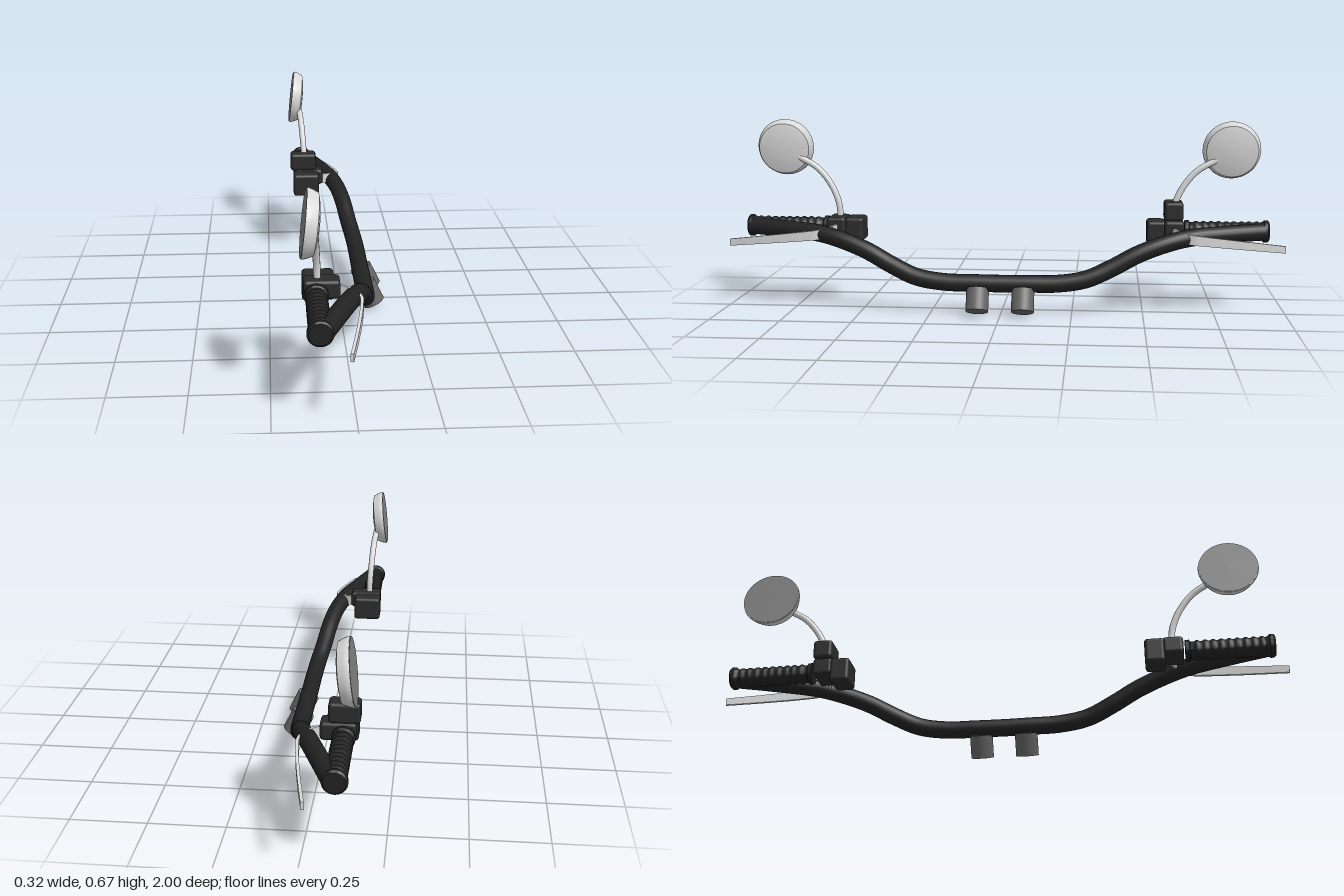
import * as THREE from 'three';
import { toCreasedNormals } from 'three/addons/utils/BufferGeometryUtils.js';
import { RoundedBoxGeometry } from 'three/addons/geometries/RoundedBoxGeometry.js';

const material = (name, color) => {
  const m = new THREE.MeshStandardMaterial({ color });
  m.name = name;
  return m;
};
const v2 = (p) => new THREE.Vector2(p[0], p[1]);

export function createModel() {
  const black = material('black paint', 0x222222);
  const plastic = material('dark plastic', 0x2b2b2b);
  const chrome = material('chrome', 0xd8d8d8);
  const glass = material('mirror glass', 0x808080);
  const steel = material('grey steel', 0x666666);

  const model = new THREE.Group();
  model.name = 'handlebar';
  const add = (name, geometry, mat, parent = model) => {
    const mesh = new THREE.Mesh(geometry, mat);
    mesh.name = name;
    parent.add(mesh);
    return mesh;
  };
  const curve = (points, s = 1) =>
    new THREE.CatmullRomCurve3(points.map(([x, y, z]) => new THREE.Vector3(x, y, z * s)));
  // Rounded box given by its limits on each axis
  const box = (name, [x0, x1], [y0, y1], [z0, z1], s, parent) => {
    const geometry = new RoundedBoxGeometry(x1 - x0, y1 - y0, z1 - z0, 3, 0.012);
    add(name, geometry, plastic, parent)
      .position.set((x0 + x1) / 2, (y0 + y1) / 2, s * (z0 + z1) / 2);
  };

  // Bent main tube, listed for one half and mirrored
  const half = [
    [0.08, 0.113, 0.1], [0.08, 0.115, 0.2], [0.075, 0.131, 0.3], [0.061, 0.17, 0.39],
    [0.047, 0.217, 0.48], [0.029, 0.25, 0.57], [0.002, 0.27, 0.66],
    [-0.047, 0.278, 0.8], [-0.096, 0.281, 0.935],
  ];
  const path = [...half.map(([x, y, z]) => [x, y, -z]).reverse(), [0.08, 0.112, 0], ...half];
  add('mainTube', new THREE.TubeGeometry(curve(path), 120, 0.031, 20), black);

  // Ribbed grip profile: flange, ribs, flared end
  const gripProfile = [[0, 0.65], [0.038, 0.65], [0.038, 0.664], [0.031, 0.668]];
  for (let i = 0; i < 9; i++) {
    const z = 0.68 + i * 0.027;
    gripProfile.push([0.031, z], [0.035, z + 0.007], [0.035, z + 0.014], [0.031, z + 0.021]);
  }
  gripProfile.push([0.034, 0.926], [0.04, 0.932], [0.04, 0.944], [0.034, 0.95], [0, 0.95]);

  // Mirror housing: shallow dome above a flared rim
  const housingProfile = [
    [0, 0], [0.103, 0], [0.104, 0.006], [0.1, 0.018], [0.092, 0.036],
    [0.07, 0.041], [0.04, 0.045], [0, 0.047],
  ];

  // Brake lever: a long box bent along a curve; s is the side
  const leverGeometry = (s) => {
    const line = curve([
      [-0.04, 0.28, 0.605], [0, 0.276, 0.625], [0.031, 0.268, 0.668],
      [0.03, 0.262, 0.72], [0.009, 0.246, 0.86], [-0.018, 0.23, 0.998],
    ]);
    const geometry = new THREE.BoxGeometry(0.01, 1, 1, 1, 1, 32);
    const pos = geometry.attributes.position;
    for (let i = 0; i < pos.count; i++) {
      const t = THREE.MathUtils.clamp(s * pos.getZ(i) + 0.5, 0, 1);
      const c = line.getPointAt(t);
      const d = line.getTangentAt(t).setY(0).normalize();
      const off = pos.getX(i);
      const height = 0.038 - 0.013 * t;
      pos.setXYZ(i, c.x + d.z * off, c.y + pos.getY(i) * height, s * (c.z - d.x * off));
    }
    geometry.computeVertexNormals();
    return toCreasedNormals(geometry, 0.6);
  };

  for (const s of [1, -1]) {
    const side = new THREE.Group();
    side.name = s > 0 ? 'frontControls' : 'rearControls';
    model.add(side);

    // Hand grip
    const grip = new THREE.LatheGeometry(gripProfile.map(v2), 28);
    grip.rotateX(s * Math.PI / 2);
    add('grip', toCreasedNormals(grip, 0.6), black, side).position.set(-0.105, 0.281, 0);

    // Clamp and switch housings
    box('leverClamp', [-0.145, -0.03], [0.262, 0.323], [0.575, 0.645], s, side);
    box('switchBox', [-0.147, -0.046], [0.233, 0.32], [0.513, 0.582], s, side);

    add('brakeLever', leverGeometry(s), chrome, side);

    // Mirror on a curved stem
    const stem = curve([
      [-0.1, 0.3, 0.605], [-0.102, 0.37, 0.612], [-0.106, 0.435, 0.64],
      [-0.111, 0.495, 0.69], [-0.119, 0.538, 0.765],
    ], s);
    add('mirrorStem', new THREE.TubeGeometry(stem, 32, 0.0115, 12), chrome, side);

    const mirror = new THREE.Group();
    mirror.name = 'mirror';
    mirror.position.set(-0.147, 0.57, 0.815 * s);
    mirror.rotation.z = -(Math.PI / 2 + 0.112);
    side.add(mirror);
    const housing = new THREE.LatheGeometry(housingProfile.map(v2), 48);
    add('mirrorHousing', toCreasedNormals(housing, 0.7), chrome, mirror);
    add('mirrorGlass', new THREE.CylinderGeometry(0.101, 0.101, 0.003, 48), glass, mirror);

    // Riser clamp under the tube
    const riser = add('riserClamp', new THREE.CylinderGeometry(0.04, 0.04, 0.081, 32), steel);
    riser.position.set(0.1045, 0.056, 0.08 * s);
    riser.rotation.z = 0.45;
  }

  // Fluid reservoir, on the rear side only
  box('reservoir', [-0.157, -0.056], [0.32, 0.388], [0.575, 0.643], -1);

  return model;
}
